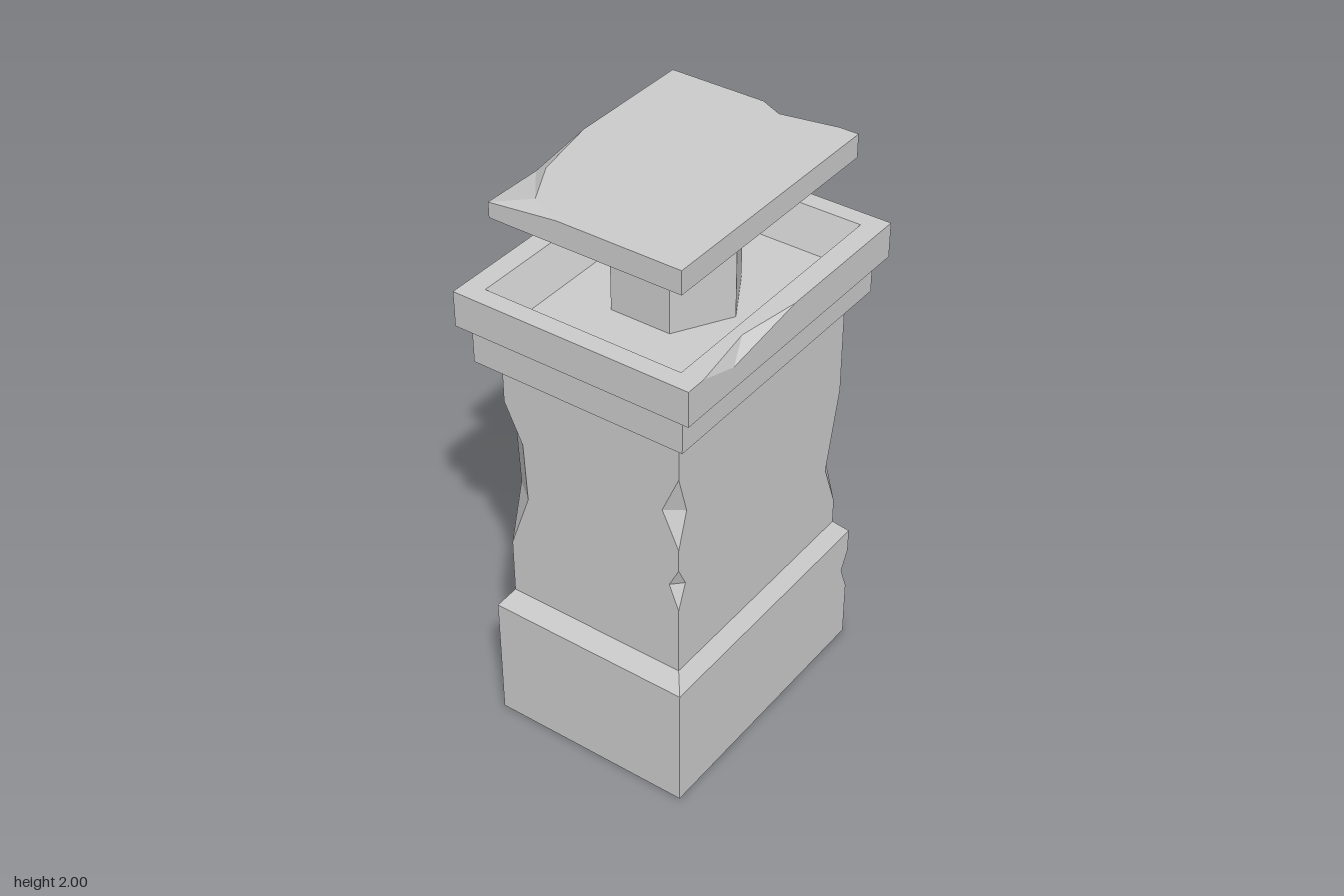
import * as THREE from 'three';

const material = new THREE.MeshStandardMaterial({ color: 0xcccccc, flatShading: true });

// Skin a stack of loops (counter-clockwise from above); optional fans close the ends.
function loft(name, loops, closeBottom, closeTop) {
  const positions = [];
  const tri = (a, b, c) => {
    const [u, v, w] = [a, b, c].map((p) => new THREE.Vector3(...p));
    const area = v.clone().sub(u).cross(w.clone().sub(u)).length();
    if (area > 1e-7) positions.push(...a, ...b, ...c);
  };
  const n = loops[0].length;
  for (let k = 0; k < loops.length - 1; k++) {
    for (let i = 0; i < n; i++) {
      const j = (i + 1) % n;
      tri(loops[k][i], loops[k][j], loops[k + 1][j]);
      tri(loops[k][i], loops[k + 1][j], loops[k + 1][i]);
    }
  }
  const first = loops[0], last = loops[loops.length - 1];
  for (let i = 0; i < n; i++) {
    const j = (i + 1) % n;
    if (closeBottom) tri([0, first[0][1], 0], first[j], first[i]);
    if (closeTop) tri([0, last[0][1], 0], last[i], last[j]);
  }
  const geometry = new THREE.BufferGeometry();
  geometry.setAttribute('position', new THREE.Float32BufferAttribute(positions, 3));
  geometry.computeVertexNormals();
  const mesh = new THREE.Mesh(geometry, material);
  mesh.name = name;
  return mesh;
}

// Piecewise linear lookup in rows of [y, a, b]; outside the rows returns null.
function sample(rows, y) {
  for (let i = 0; i < rows.length - 1; i++) {
    const [p, q] = [rows[i], rows[i + 1]];
    if (y >= p[0] && y <= q[0]) {
      const t = (y - p[0]) / (q[0] - p[0]);
      return [p[1] + (q[1] - p[1]) * t, p[2] + (q[2] - p[2]) * t];
    }
  }
  return null;
}

// Body profile: y, half width, half depth
const PROFILE = [
  [0, 0.363, 0.49], [0.455, 0.363, 0.49], [0.51, 0.325, 0.443],
  [1.38, 0.325, 0.443], [1.43, 0.38, 0.503], [1.543, 0.38, 0.503],
];

// Chips on the upright corners: side signs, then rows of y, cut along x, cut along z
const CHIPS = [
  { sx: 1, sz: 1, rows: [[1.0, 0, 0], [1.13, 0.06, 0.04], [1.27, 0, 0]] },
  { sx: 1, sz: 1, rows: [[0.76, 0, 0], [0.85, 0.035, 0.035], [0.92, 0, 0]] },
  { sx: -1, sz: 1, rows: [[0.71, 0, 0], [0.92, 0.075, 0.06], [1.13, 0.065, 0.05], [1.27, 0, 0]] },
  { sx: 1, sz: -1, rows: [[0.6, 0, 0], [0.77, 0.045, 0.065], [1.06, 0, 0]] },
  { sx: 1, sz: -1, rows: [[0.21, 0, 0], [0.3, 0.035, 0.035], [0.37, 0, 0]] },
  { sx: -1, sz: -1, rows: [[0.52, 0, 0], [0.64, 0.035, 0.035], [0.71, 0, 0]] },
];

function bodyLoop(y) {
  const [hx, hz] = sample(PROFILE, y);
  const loop = [];
  for (const [sx, sz] of [[1, 1], [1, -1], [-1, -1], [-1, 1]]) {
    let cut = [0, 0];
    for (const c of CHIPS) {
      if (c.sx === sx && c.sz === sz) cut = sample(c.rows, y) || cut;
    }
    const onFace = [sx * (hx - cut[0]), y, sz * hz];
    const onSide = [sx * hx, y, sz * (hz - cut[1])];
    loop.push(...(sx * sz > 0 ? [onFace, onSide] : [onSide, onFace]));
  }
  return loop;
}

// Slab loops from points [x, z] or, where chipped, [x, z, topX, topZ, chipY]
function slabLoops(points, bottom, top) {
  return [
    points.map(([x, z]) => [x, bottom, z]),
    points.map(([x, z, , , chipY = top]) => [x, chipY, z]),
    points.map(([x, z, tx = x, tz = z]) => [tx, top, tz]),
  ];
}

const clampLoop = (loop, y, hx, hz) => loop.map((p) => [
  THREE.MathUtils.clamp(p[0], -hx, hx), y, THREE.MathUtils.clamp(p[2], -hz, hz),
]);

export function createModel() {
  const model = new THREE.Group();
  model.name = 'stonePillar';

  // Plinth, shaft and cornice
  const heights = new Set(PROFILE.map((r) => r[0]));
  CHIPS.forEach((c) => c.rows.forEach((r) => heights.add(r[0])));
  const loops = [...heights].sort((a, b) => a - b).map(bodyLoop);
  model.add(loft('body', loops, true, false));

  // Rim with a sloped recess in its top
  const rim = slabLoops([
    [0.42, 0.53], [0.42, 0.46], [0.42, 0.31, 0.385, 0.22, 1.635], [0.42, 0],
    [0.42, -0.53], [-0.35, -0.53], [-0.42, -0.53, -0.385, -0.51, 1.607],
    [-0.42, -0.49], [-0.42, 0.53],
  ], 1.558, 1.68);
  rim.unshift(clampLoop(rim[0], 1.543, 0.38, 0.503));
  rim.push(clampLoop(rim[3], 1.68, 0.35, 0.467));
  rim.push(clampLoop(rim[4], 1.55, 0.3, 0.417));
  model.add(loft('rim', rim, false, true));

  // Six-sided post with corners on the x axis
  const post = new THREE.Mesh(new THREE.CylinderGeometry(0.215, 0.215, 0.37, 6), material);
  post.name = 'post';
  post.rotation.y = Math.PI / 6;
  post.position.y = 1.735;
  model.add(post);

  // Cap slab with broken edges
  model.add(loft('cap', slabLoops([
    [0.337, 0.447], [0.337, -0.447], [0.27, -0.447],
    [0.08, -0.447, 0.08, -0.41, 1.965], [0, -0.447], [-0.337, -0.447],
    [-0.337, 0], [-0.337, 0.23, -0.29, 0.24, 1.968],
    [-0.337, 0.447, -0.21, 0.39, 1.972], [-0.09, 0.447],
  ], 1.92, 2), true, true));

  return model;
}
